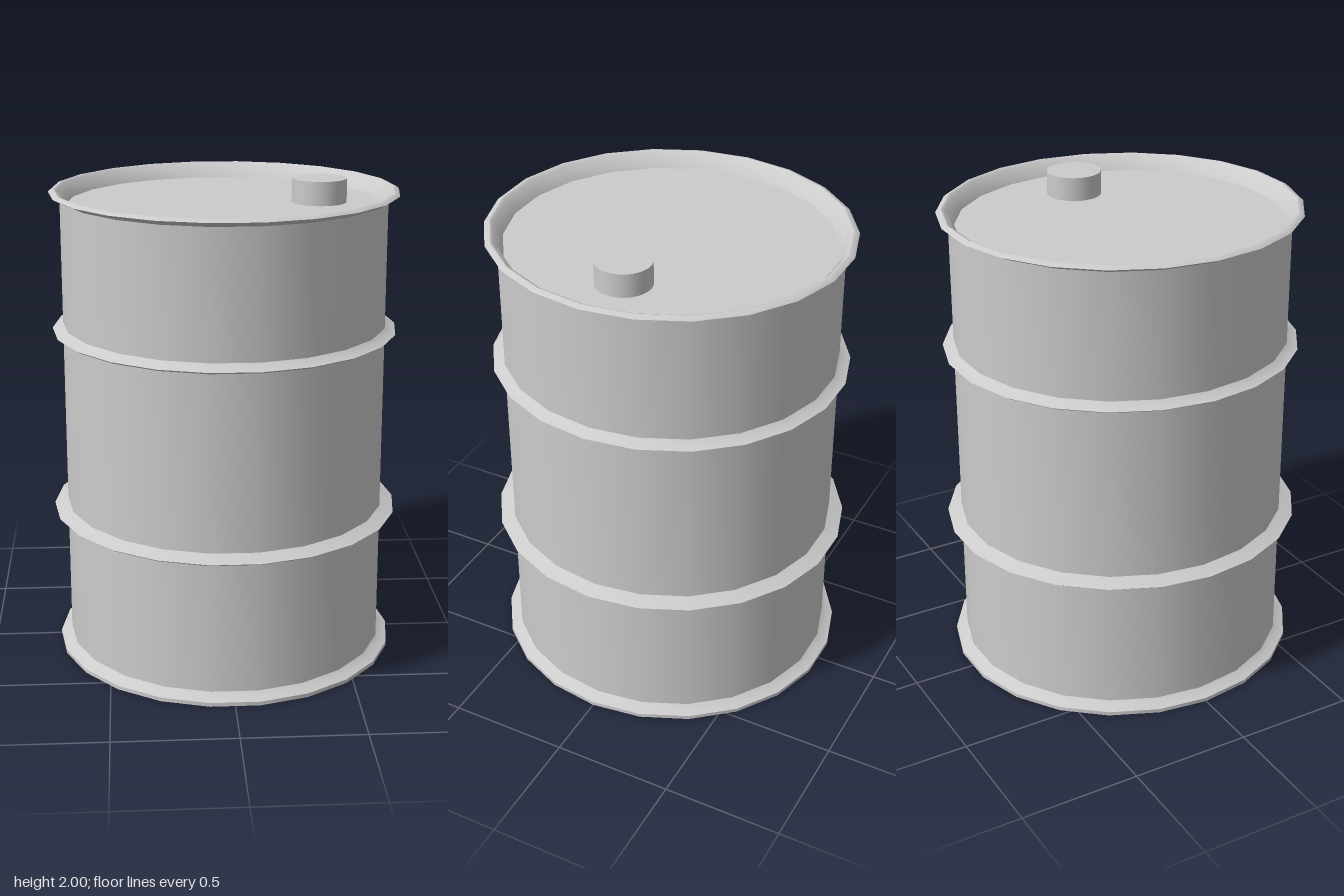
import * as THREE from 'three';
import { toCreasedNormals } from 'three/addons/utils/BufferGeometryUtils.js';

const SIDES = 22;
const WALL = 0.672;   // drum wall radius
const DEPTH = 1.036;  // the drum is slightly deeper than wide

export function createModel() {
  const group = new THREE.Group();
  const material = new THREE.MeshStandardMaterial({ color: 0xcccccc });

  function add(name, geometry) {
    const mesh = new THREE.Mesh(geometry, material);
    mesh.name = name;
    group.add(mesh);
    return mesh;
  }

  // Turned part from [radius, height] pairs, listed upwards on the outside
  function turned(name, profile) {
    const points = profile.map(([r, y]) => new THREE.Vector2(r, y));
    const lathe = new THREE.LatheGeometry(points, SIDES, Math.PI / 2);
    lathe.scale(1, 1, DEPTH);
    return add(name, toCreasedNormals(lathe, 0.6));
  }

  // Flat base with its flared foot
  turned('base', [[0, 0], [0.718, 0], [0.718, 0.016], [0.69, 0.028], [WALL, 0.042]]);

  // Wall
  turned('wall', [[WALL, 0.02], [WALL, 1.945]]);

  // Rolling hoops: thin ridges around the wall
  for (const [name, y, radius] of [['lowerHoop', 0.615, 0.729], ['upperHoop', 1.387, 0.716]]) {
    turned(name, [
      [WALL, y - 0.016], [radius - 0.012, y - 0.008], [radius, y],
      [radius - 0.025, y + 0.01], [WALL, y + 0.025],
    ]);
  }

  // Top rim, rolled over and down to the recessed lid
  turned('rim', [
    [WALL, 1.932], [0.695, 1.943], [0.718, 1.955], [0.708, 1.963],
    [0.695, 1.966], [0.683, 1.96], [0.648, 1.902],
  ]);
  turned('lid', [[0.648, 1.902], [0, 1.902]]);

  // Filler cap
  add('fillerCap', new THREE.CylinderGeometry(0.113, 0.113, 0.1, 32))
    .position.set(0.39, 1.95, -0.005);

  return group;
}
